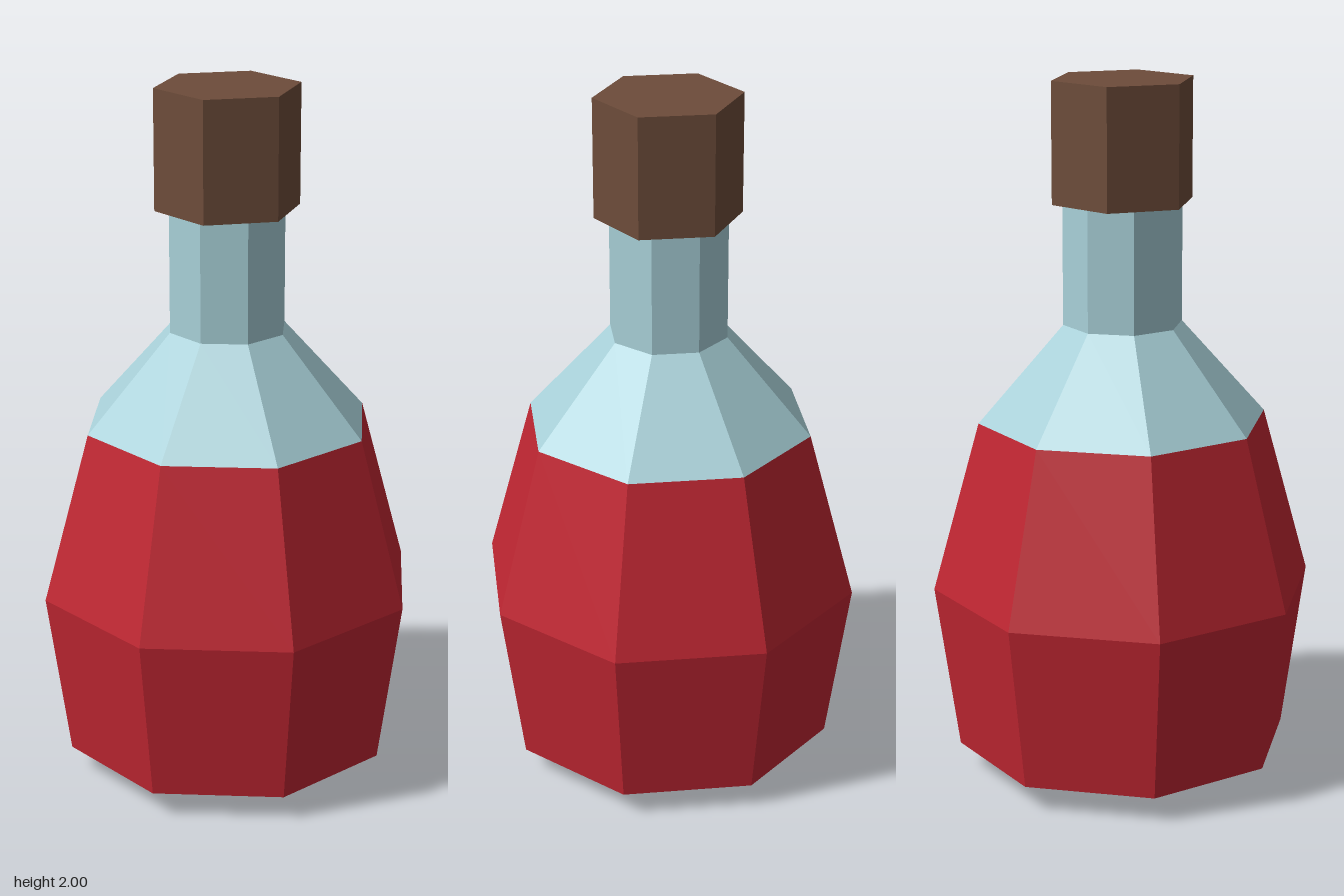
import * as THREE from 'three';

const flat = (name, color) => {
  const m = new THREE.MeshStandardMaterial({ color, flatShading: true });
  m.name = name;
  return m;
};

// Octagonal shell from [apothem, height] rings, flats facing the axes
function octagon(name, rings, material) {
  const k = 1 / Math.cos(Math.PI / 8);
  const points = rings.map(([a, y]) => new THREE.Vector2(a * k, y));
  const mesh = new THREE.Mesh(new THREE.LatheGeometry(points, 8, Math.PI / 8), material);
  mesh.name = name;
  return mesh;
}

export function createModel() {
  const group = new THREE.Group();
  group.name = 'potionBottle';
  const red = flat('red liquid', 0xc02632);
  const glass = flat('pale blue glass', 0xa8d0d8);
  glass.side = THREE.DoubleSide;
  const brown = flat('brown cork', 0x6d4c3a);

  // Filled body with a shallow pointed base
  group.add(octagon('liquidBody', [[0, 0], [0.445, 0.075], [0.507, 0.555], [0.382, 1.04]], red));

  // Clear shoulder and neck
  group.add(octagon('shoulder', [[0.382, 1.04], [0.157, 1.315]], glass));
  group.add(octagon('neck', [[0.157, 1.315], [0.157, 1.665]], glass));

  // Hexagonal stopper with corners on the x axis
  const cork = new THREE.Mesh(
    new THREE.CylinderGeometry(0.205, 0.205, 0.34, 6, 1, false, Math.PI / 6), brown);
  cork.name = 'stopper';
  cork.position.y = 1.83;
  group.add(cork);

  return group;
}
